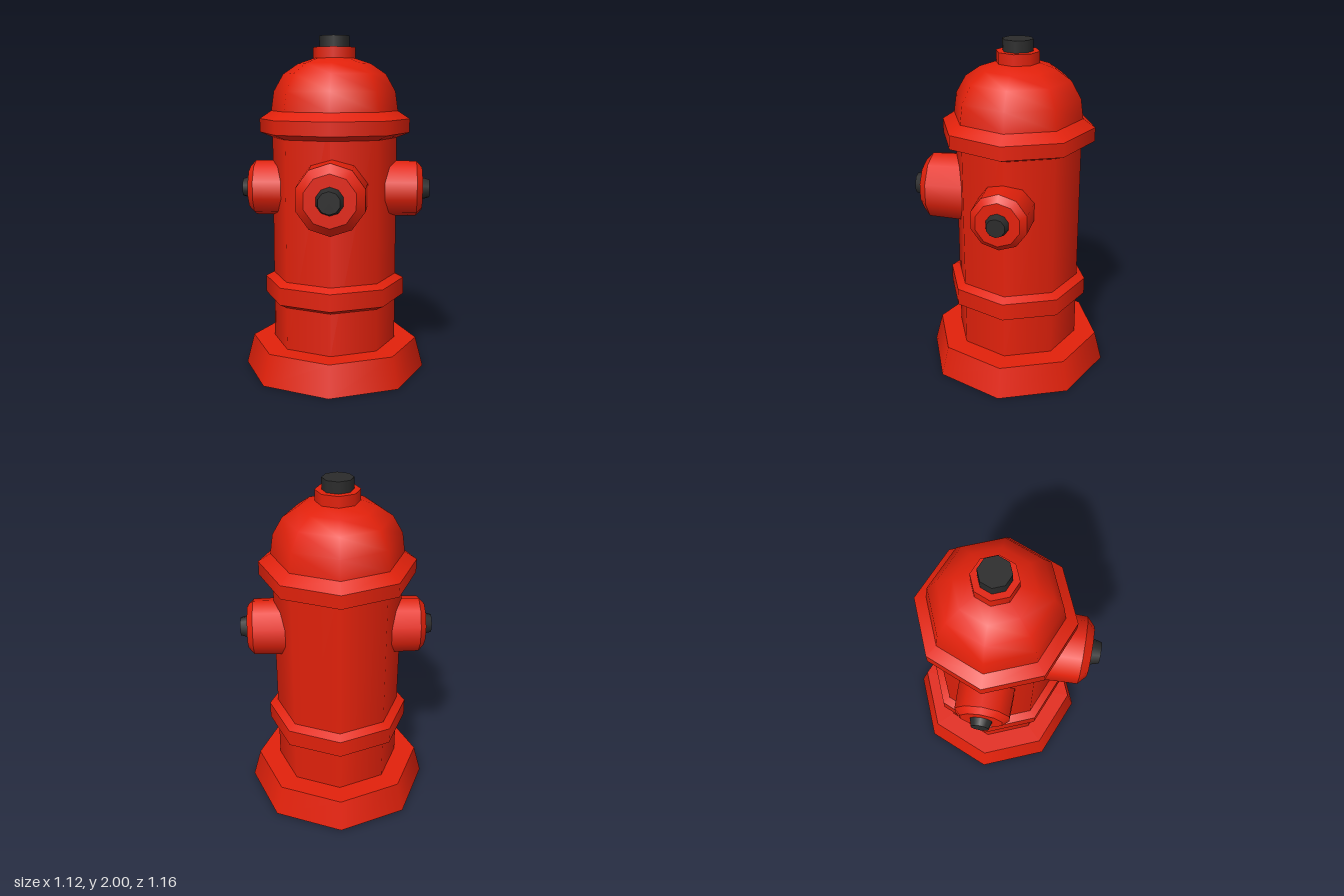
import * as THREE from 'three';

const red = new THREE.MeshStandardMaterial({ color: 0xe2210b, side: THREE.DoubleSide });
red.name = 'red paint';
const dark = new THREE.MeshStandardMaterial({ color: 0x2b2b2b });
dark.name = 'dark iron';

// Stacks open tapered sections along +y from [radius, height] points, with an optional end cap.
function stack(name, profile, sides, material, capped) {
  const group = new THREE.Group();
  group.name = name;
  for (let i = 0; i + 1 < profile.length; i++) {
    const [r0, y0] = profile[i];
    const [r1, y1] = profile[i + 1];
    const mesh = new THREE.Mesh(new THREE.CylinderGeometry(r1, r0, y1 - y0, sides, 1, true), material);
    mesh.name = `${name}Section${i + 1}`;
    mesh.position.y = (y0 + y1) / 2;
    group.add(mesh);
  }
  if (capped) {
    const [r, y] = profile[profile.length - 1];
    const cap = new THREE.Mesh(new THREE.CircleGeometry(r, sides, Math.PI / 2), material);
    cap.name = `${name}Cap`;
    cap.rotation.x = -Math.PI / 2;
    cap.position.y = y;
    group.add(cap);
  }
  return group;
}

// Hose outlet with its nut, pointing along +z and then turned about y.
function outlet(name, barrel, nut, turn) {
  const arm = new THREE.Group();
  arm.name = `${name}Arm`;
  arm.add(
    stack(`${name}Barrel`, barrel, 10, red, true),
    stack(`${name}Nut`, nut, 10, dark, true),
  );
  arm.rotation.x = Math.PI / 2;
  const group = new THREE.Group();
  group.name = name;
  group.add(arm);
  group.position.set(0.002, 1.107, -0.031);
  group.rotation.y = turn;
  return group;
}

export function createModel() {
  const model = new THREE.Group();
  model.name = 'fireHydrant';
  const body = new THREE.Group();
  body.name = 'hydrantBody';
  body.position.set(-0.007, 0, -0.032);
  model.add(body);

  // Hollow base, barrel and flanges
  body.add(
    stack('base', [[0.547, 0], [0.5, 0.18]], 8, red, true),
    stack('barrel', [[0.37, 0.18], [0.37, 1.57]], 8, red, false),
    stack('lowerFlange', [[0.37, 0.432], [0.42, 0.458], [0.42, 0.56], [0.37, 0.585]], 8, red, false),
    stack('upperFlange', [[0.37, 1.41], [0.446, 1.44], [0.446, 1.52], [0.374, 1.568]], 8, red, false),
  );

  // Rounded bonnet
  const points = [[0.376, 1.565], [0.36, 1.68], [0.303, 1.78], [0.215, 1.84], [0.12, 1.872], [0, 1.885]]
    .map(([r, y]) => new THREE.Vector2(r, y));
  const bonnet = new THREE.Mesh(new THREE.LatheGeometry(points, 8), red);
  bonnet.name = 'bonnet';
  body.add(bonnet);

  // Collar and operating nut on top
  body.add(
    stack('topCollar', [[0.125, 1.865], [0.125, 1.934]], 8, red, true),
    stack('topNut', [[0.088, 1.934], [0.088, 2]], 8, dark, true),
  );

  // Large front outlet and two smaller side outlets
  model.add(outlet('frontOutlet',
    [[0.207, 0.27], [0.199, 0.508], [0.148, 0.555]],
    [[0.078, 0.555], [0.062, 0.612]], 0));
  for (const side of [-1, 1]) {
    model.add(outlet(side > 0 ? 'leftOutlet' : 'rightOutlet',
      [[0.168, 0.29], [0.164, 0.48], [0.127, 0.514]],
      [[0.066, 0.514], [0.053, 0.558]], side * Math.PI / 2));
  }
  return model;
}
